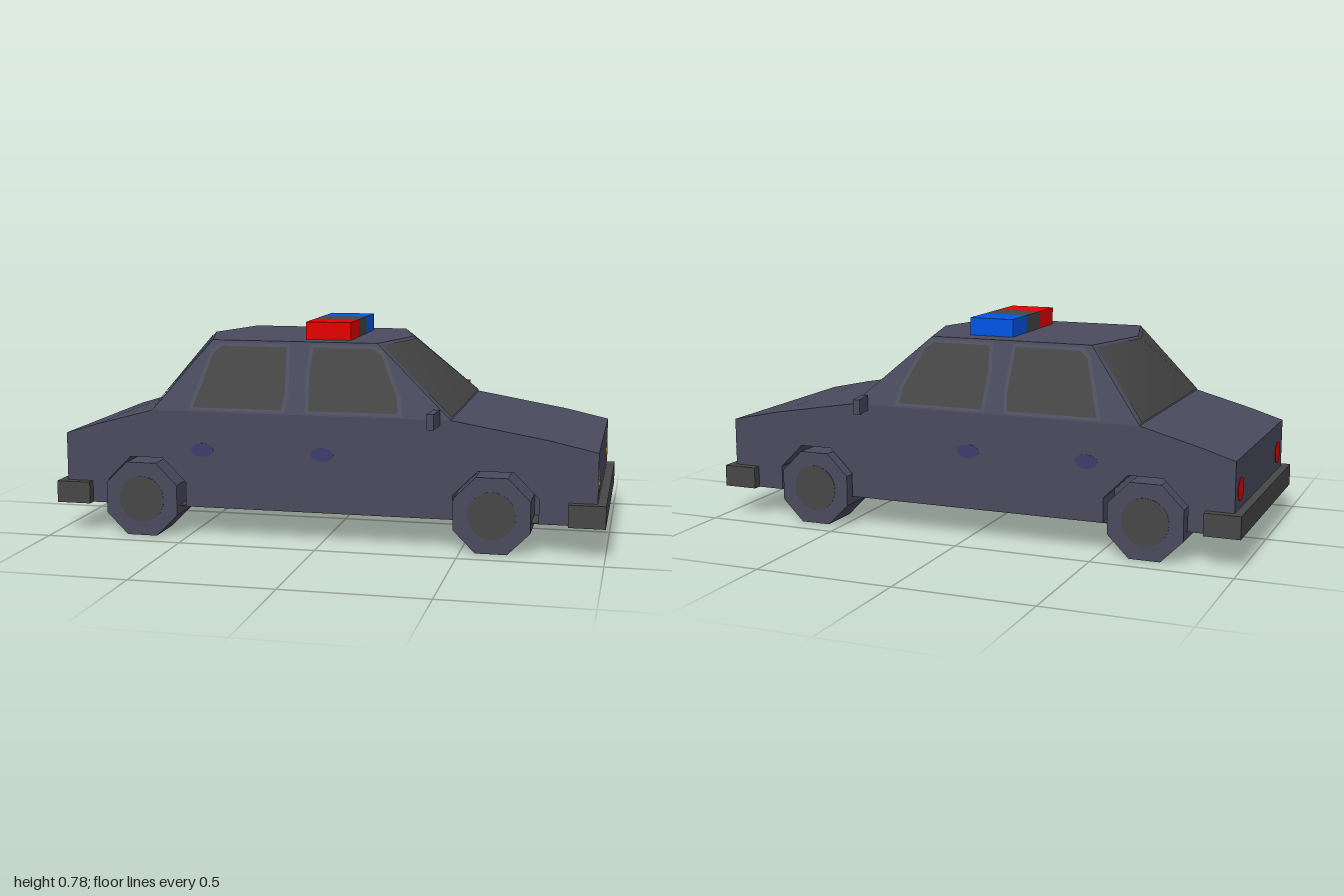
import * as THREE from 'three';
import { mergeVertices } from 'three/addons/utils/BufferGeometryUtils.js';

const material = (name, color) => Object.assign(new THREE.MeshStandardMaterial({ color }), { name });

export function createModel() {
  const paint = material('paint', 0x4a4a5e);
  const trim = material('trim', 0x50505f);
  const charcoal = material('charcoal', 0x464646);
  const red = material('red', 0xe60000);
  const blue = material('blue', 0x0056e6);
  const yellow = material('yellow', 0xe6dd28);
  const orange = material('orange', 0xe6903a);
  const navy = material('navy', 0x3c3c6c);

  const car = new THREE.Group();
  car.name = 'car';

  const add = (name, geometry, mat, x = 0, y = 0, z = 0) => {
    const mesh = new THREE.Mesh(geometry, mat);
    mesh.name = name;
    mesh.position.set(x, y, z);
    car.add(mesh);
    return mesh;
  };

  const shapeOf = pts => new THREE.Shape(pts.map(p => new THREE.Vector2(...p)));
  const slab = (shape, depth) =>
    new THREE.ExtrudeGeometry(shape, { depth, bevelEnabled: false }).translate(0, 0, -depth / 2);
  const disc = (rx, ry) => slab(new THREE.Shape().absellipse(0, 0, rx, ry, 0, Math.PI * 2), 0.002);

  // Flat faces fanned from each polygon's first point, turned to face outwards
  const faces = polygons => {
    const out = [];
    const inside = new THREE.Vector3(-0.1, 0.45, 0);
    for (const poly of polygons) {
      const v = poly.map(p => new THREE.Vector3(...p));
      for (let i = 1; i < v.length - 1; i++) {
        let [a, b, c] = [v[0], v[i], v[i + 1]];
        const n = b.clone().sub(a).cross(c.clone().sub(a));
        if (n.dot(a.clone().sub(inside)) < 0) [b, c] = [c, b];
        for (const p of [a, b, c]) out.push(p.x, p.y, p.z);
      }
    }
    const g = new THREE.BufferGeometry();
    g.setAttribute('position', new THREE.Float32BufferAttribute(out, 3));
    g.computeVertexNormals();
    return g;
  };

  // Lower body: solid core between the wheels, flanks with octagonal wheel arches
  const upperLine = [
    [0.97, 0.11], [0.97, 0.365], [0.8, 0.402], [0.46, 0.46],
    [-0.635, 0.46], [-0.85, 0.402], [-0.97, 0.365], [-0.97, 0.11],
  ];
  const arch = cx => [[-0.15, 0.11], [-0.15, 0.197], [-0.062, 0.285], [0.062, 0.285], [0.15, 0.197], [0.15, 0.11]]
    .map(([x, y]) => [cx + x, y]);
  add('bodyCore', slab(shapeOf(upperLine), 0.52), paint);
  const flank = shapeOf([...upperLine, ...arch(-0.66), ...arch(0.62)]);
  add('underside', new THREE.BoxGeometry(1.94, 0.004, 0.77), charcoal, 0, 0.11, 0);

  // Cabin with a pointed six-sided roof
  const W = 0.385, R = 0.29, belt = 0.46, top = 0.712;
  const screen = (base, corner, mid) => [
    [mid, top, 0], [corner, top, R], [base, belt, W], [base, belt, -W], [corner, top, -R],
  ];
  const cabinSide = s => [[-0.635, belt, s * W], [0.46, belt, s * W], [0.18, top, s * R], [-0.43, top, s * R]];
  add('cabin', faces([
    screen(0.46, 0.18, 0.26), screen(-0.635, -0.43, -0.51), cabinSide(1), cabinSide(-1),
    [[-0.51, top, 0], [-0.43, top, R], [0.18, top, R], [0.26, top, 0], [0.18, top, -R], [-0.43, top, -R]],
  ]), paint);

  // Windscreen and rear window: softly curved glass just proud of the cabin, with a narrow painted border
  const glaze = (name, base, corner, mid, lift) => {
    const inset = 0.03;
    const middle = (belt + top) / 2;
    const toBase = x => x + (base - x) * inset;
    const g = faces([screen(base + (mid - base) * inset, toBase(corner), toBase(mid))
      .map(([x, y, z]) => [x + lift, middle + (y - middle) * (1 - 2 * inset), z * 0.955])]);
    g.deleteAttribute('normal');
    const smooth = mergeVertices(g);
    smooth.computeVertexNormals();
    add(name, smooth, charcoal);
  };
  glaze('windscreen', 0.46, 0.18, 0.26, 0.007);
  glaze('rearWindow', -0.635, -0.43, -0.51, -0.007);

  // Side windows with thin surrounds, lying on the sloping cabin sides
  const onSide = (pts, s, lift) => pts.map(([x, y]) =>
    [x, y, s * (W + (R - W) * (y - belt) / (top - belt) + lift)]);
  const grow = (pts, cx) => pts.map(([x, y]) => [cx + (x - cx) * 1.09, 0.583 + (y - 0.583) * 1.09]);
  const panes = [
    ['rearDoorWindow', -0.29, [[-0.48, 0.475], [-0.15, 0.475], [-0.141, 0.53], [-0.15, 0.692], [-0.39, 0.692], [-0.42, 0.67]]],
    ['frontDoorWindow', 0.09, [[-0.05, 0.475], [0.272, 0.475], [0.265, 0.53], [0.2, 0.67], [0.17, 0.692], [-0.05, 0.692], [-0.058, 0.6]]],
  ];

  for (const s of [1, -1]) {
    const side = s > 0 ? 'Left' : 'Right';
    add('flank' + side, slab(flank, 0.125), paint, 0, 0, s * 0.3225);

    for (const [name, cx, pts] of panes) {
      add(name + 'Surround' + side, faces([onSide(grow(pts, cx), s, 0.001)]), trim);
      add(name + side, faces([onSide(pts, s, 0.003)]), charcoal);
    }

    // Door handles
    for (const x of [-0.445, 0]) add('doorHandle' + side, disc(0.042, 0.025), navy, x, 0.32, s * 0.3848);

    // Octagonal wheels with round hubs
    for (const x of [-0.67, 0.61]) {
      const tyre = new THREE.CylinderGeometry(0.146, 0.146, 0.158, 8).toNonIndexed();
      tyre.rotateY(Math.PI / 8).rotateX(Math.PI / 2).computeVertexNormals();
      add('wheel' + side, tyre, paint, x, 0.135, s * 0.338);
      add('hub' + side, disc(0.085, 0.085), charcoal, x, 0.135, s * 0.4174);
    }

    // Door mirrors
    const mirror = add('mirror' + side, new THREE.BoxGeometry(0.024, 0.056, 0.084), paint, 0.406, 0.466, s * 0.425);
    mirror.rotation.set(s * 0.04, -s * 0.12, 0);

    // Lamps on the nose and tail
    const lamp = (name, mat, x, z, rz, ry) =>
      add(name + side, disc(rz, ry).rotateY(Math.PI / 2), mat, x, 0.255, s * z);
    lamp('headlamp', yellow, 0.9701, 0.33, 0.055, 0.04);
    lamp('indicator', orange, 0.9715, 0.312, 0.039, 0.042);
    lamp('tailLamp', red, -0.9705, 0.305, 0.044, 0.041);
  }

  // Bumpers
  for (const s of [1, -1]) {
    add(s > 0 ? 'frontBumper' : 'rearBumper', new THREE.BoxGeometry(0.128, 0.08, 0.834), charcoal, s * 0.936, 0.148, 0);
  }

  // Roof light bar in three sections
  [['barLeft', red, 0.1375], ['barCentre', charcoal, 0], ['barRight', blue, -0.1375]].forEach(([name, mat, z]) =>
    add(name, new THREE.BoxGeometry(0.167, 0.066, 0.1375), mat, -0.0175, 0.743, z));

  return car;
}
